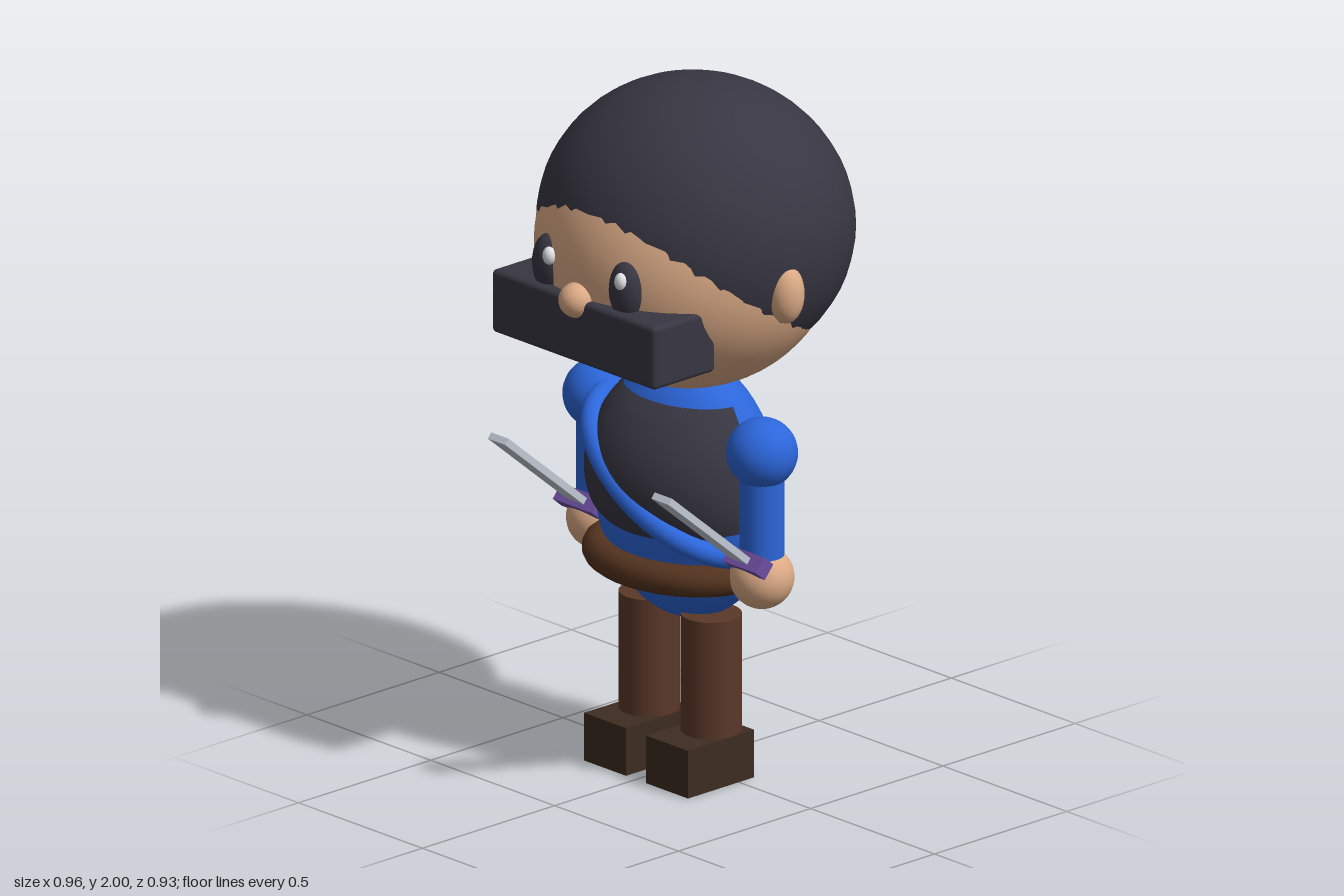
import * as THREE from 'three';
import { RoundedBoxGeometry } from 'three/addons/geometries/RoundedBoxGeometry.js';

const mat = (name, color) => {
  const m = new THREE.MeshStandardMaterial({ color });
  m.name = name;
  return m;
};

export function createModel() {
  const model = new THREE.Group();
  model.name = 'figure';

  const skin = mat('skin', 0xdcab86);
  const dark = mat('dark cloth and hair', 0x383642);
  const blue = mat('blue shirt', 0x2c66da);
  const brown = mat('trouser brown', 0x5a3828);
  const leather = mat('belt leather', 0x54331f);
  const boot = mat('boot brown', 0x3d2c20);
  const steel = mat('steel', 0xc2cad6);
  const purple = mat('purple hilt', 0x6e4fa3);
  const white = mat('eye glint', 0xf0f2f6);
  const vestMat = mat('dark vest', 0x383642);
  vestMat.side = THREE.DoubleSide;

  const add = (name, geometry, material, x = 0, y = 0, z = 0, parent = model) => {
    const mesh = new THREE.Mesh(geometry, material);
    mesh.name = name;
    mesh.position.set(x, y, z);
    parent.add(mesh);
    return mesh;
  };
  const ellipsoid = (name, material, [x, y, z], [rx, ry, rz], seg = 32) =>
    add(name, new THREE.SphereGeometry(1, seg, seg * 0.75).scale(rx, ry, rz), material, x, y, z);

  // Closed elliptical ring around the body, tilted sideways by a slope
  const ring = (name, material, y0, z0, rx, rz, slope, tube) => {
    const pts = [];
    for (let i = 0; i < 32; i++) {
      const a = (i / 32) * Math.PI * 2;
      const x = Math.cos(a) * rx;
      pts.push(new THREE.Vector3(x, y0 + slope * x, z0 + Math.sin(a) * rz));
    }
    const curve = new THREE.CatmullRomCurve3(pts, true);
    return add(name, new THREE.TubeGeometry(curve, 64, tube, 14, true), material);
  };

  // Head: the hair is a larger cap, shifted up and back over the skull
  ellipsoid('head', skin, [0, 1.535, 0], [0.43, 0.405, 0.415], 48);
  ellipsoid('hair', dark, [0, 1.585, -0.035], [0.455, 0.415, 0.43], 40);
  ellipsoid('nose', skin, [0, 1.465, 0.415], [0.052, 0.05, 0.052], 24);
  add('faceMask', new RoundedBoxGeometry(0.66, 0.185, 0.235, 3, 0.015), dark, 0, 1.38, 0.315);

  // Torso
  const T = { y: 0.82, rx: 0.3, ry: 0.38, rz: 0.215 };
  ellipsoid('torso', blue, [0, T.y, 0], [T.rx, T.ry, T.rz], 40);
  ring('belt', leather, 0.625, 0.025, 0.255, 0.2, 0, 0.045);
  ring('shoulderStrap', blue, 0.865, 0.025, 0.265, 0.225, -0.67, 0.032);

  // Vest: front patch following the torso, bulging in the middle
  const vest = new THREE.PlaneGeometry(1, 1, 32, 20);
  const p = vest.attributes.position;
  for (let i = 0; i < p.count; i++) {
    const a = p.getX(i) * THREE.MathUtils.degToRad(168);
    const t = p.getY(i) + 0.5;
    const low = 0.73 + 0.04 * Math.sin(a) ** 2;
    const y = low + t * (1.105 - low);
    const k = Math.sqrt(1 - ((y - T.y) / T.ry) ** 2);
    const bulge = 0.004 + 0.056 * Math.max(0, Math.sin(Math.PI * t)) ** 0.7;
    p.setXYZ(i, Math.sin(a) * (T.rx * k + 0.005), y, Math.cos(a) * (T.rz * k + bulge));
  }
  vest.computeVertexNormals();
  add('vest', vest, vestMat);

  for (const [side, s] of [['left', 1], ['right', -1]]) {
    // Face details
    ellipsoid(side + 'Ear', skin, [s * 0.428, 1.5, 0.025], [0.05, 0.086, 0.052], 24);
    ellipsoid(side + 'Eye', dark, [s * 0.155, 1.525, 0.375], [0.053, 0.085, 0.043], 24);
    ellipsoid(side + 'EyeGlint', white, [s * 0.145 + 0.022, 1.56, 0.405], [0.02, 0.026, 0.018], 16);

    // Arm
    const ax = s * 0.33;
    ellipsoid(side + 'Shoulder', blue, [ax, 1.007, 0.025], [0.1, 0.1, 0.1]);
    add(side + 'Arm', new THREE.CylinderGeometry(0.062, 0.062, 0.36, 24), blue, ax, 0.83, 0.025);
    ellipsoid(side + 'Hand', skin, [ax, 0.643, 0.025], [0.09, 0.09, 0.09]);

    // Knife: built upright, then leaned forward
    const knife = new THREE.Group();
    knife.name = side + 'Knife';
    knife.position.set(ax, 0.703, 0.09);
    knife.rotation.x = THREE.MathUtils.degToRad(50);
    add('blade', new THREE.BoxGeometry(0.07, 0.4, 0.02), steel, 0, 0.21, 0, knife);
    add('guard', new THREE.BoxGeometry(0.16, 0.045, 0.05), purple, 0, 0, 0, knife);
    add('grip', new THREE.CylinderGeometry(0.02, 0.02, 0.1, 12), purple, 0, -0.06, 0, knife);
    model.add(knife);

    // Leg and boot
    add(side + 'Leg', new THREE.CylinderGeometry(0.085, 0.085, 0.345, 28), brown, s * 0.125, 0.31, 0.025);
    add(side + 'Boot', new THREE.BoxGeometry(0.17, 0.14, 0.25), boot, s * 0.125, 0.07, 0.067);
  }

  return model;
}
